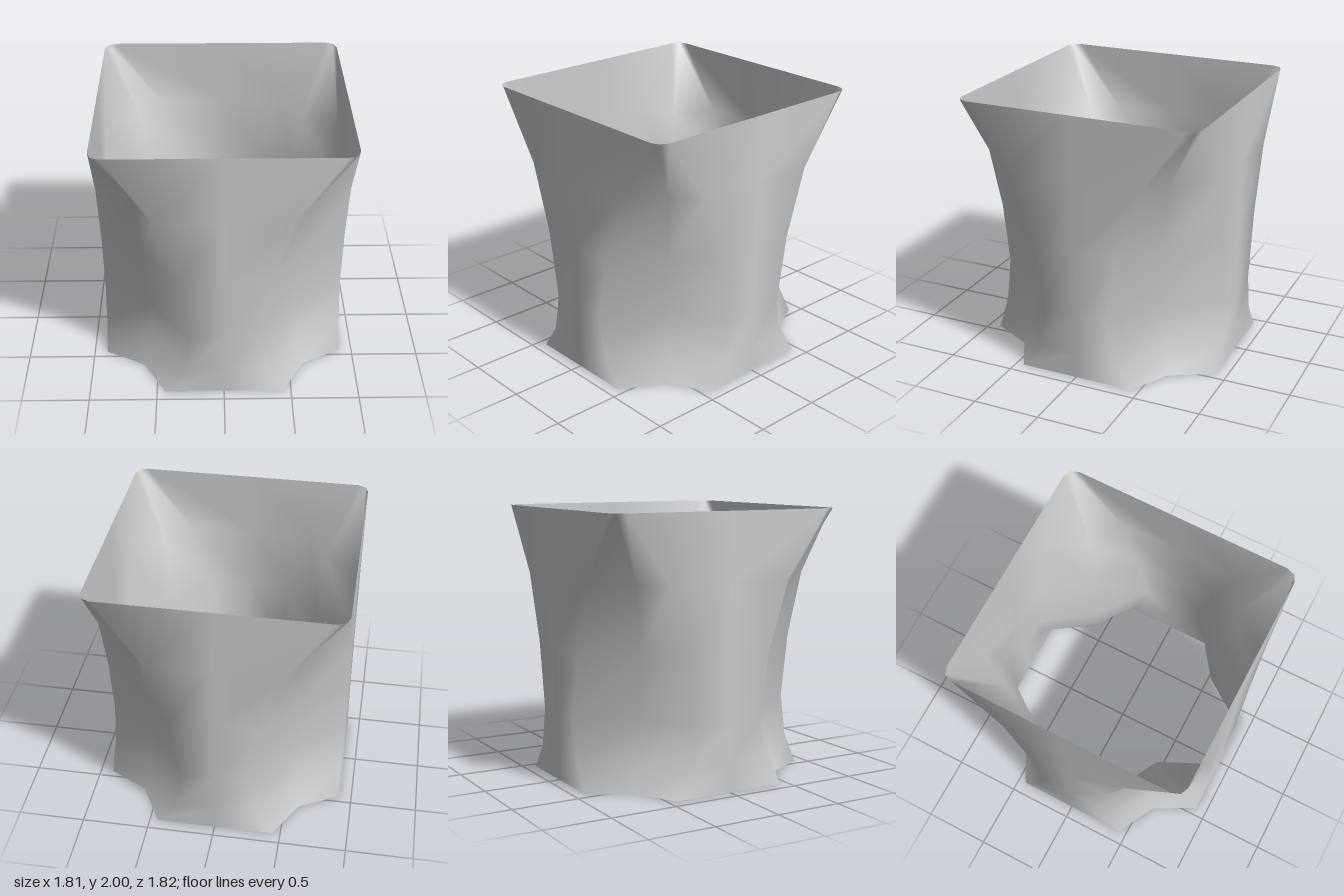
import * as THREE from 'three';

const HX = 0.905, HZ = 0.912;

// Height, half width of the flat side panel, and the corner point (x, z)
const rings = [
  [0.0, 0.44, 0.61, 0.6],
  [0.2, 0.3, 0.565, 0.54],
  [0.5, 0.245, 0.545, 0.507],
  [1.0, 0.325, 0.588, 0.553],
  [1.5, 0.485, 0.632, 0.6],
  [2.0, 0.825, 0.882, 0.888],
];

// One full outline, going from +x towards +z and round
function outline([, w, cx, cz]) {
  const quarter = [[HX, w], [cx, cz], [w, HZ]];
  const flip = (sx, sz) => quarter.map(([x, z]) => [x * sx, z * sz]);
  return [
    [HX, 0], ...flip(1, 1),
    [0, HZ], ...flip(-1, 1).reverse(),
    [-HX, 0], ...flip(-1, -1),
    [0, -HZ], ...flip(1, -1).reverse(),
  ];
}

export function createModel() {
  const positions = [], index = [];
  const n = 16;
  rings.forEach((ring, r) => {
    for (const [x, z] of outline(ring)) positions.push(x, ring[0], z);
    if (r === 0) return;
    for (let i = 0; i < n; i++) {
      const j = (i + 1) % n, lo = (r - 1) * n, up = r * n;
      index.push(lo + i, up + i, lo + j, lo + j, up + i, up + j);
    }
  });

  // Open sleeve with flat sides and pinched-in corners
  const geometry = new THREE.BufferGeometry();
  geometry.setAttribute('position', new THREE.Float32BufferAttribute(positions, 3));
  geometry.setIndex(index);
  geometry.computeVertexNormals();

  const material = new THREE.MeshStandardMaterial({ color: 0xcccccc, side: THREE.DoubleSide });
  const sleeve = new THREE.Mesh(geometry, material);
  sleeve.name = 'pinchedSleeve';

  const group = new THREE.Group();
  group.name = 'openVase';
  group.add(sleeve);
  return group;
}
